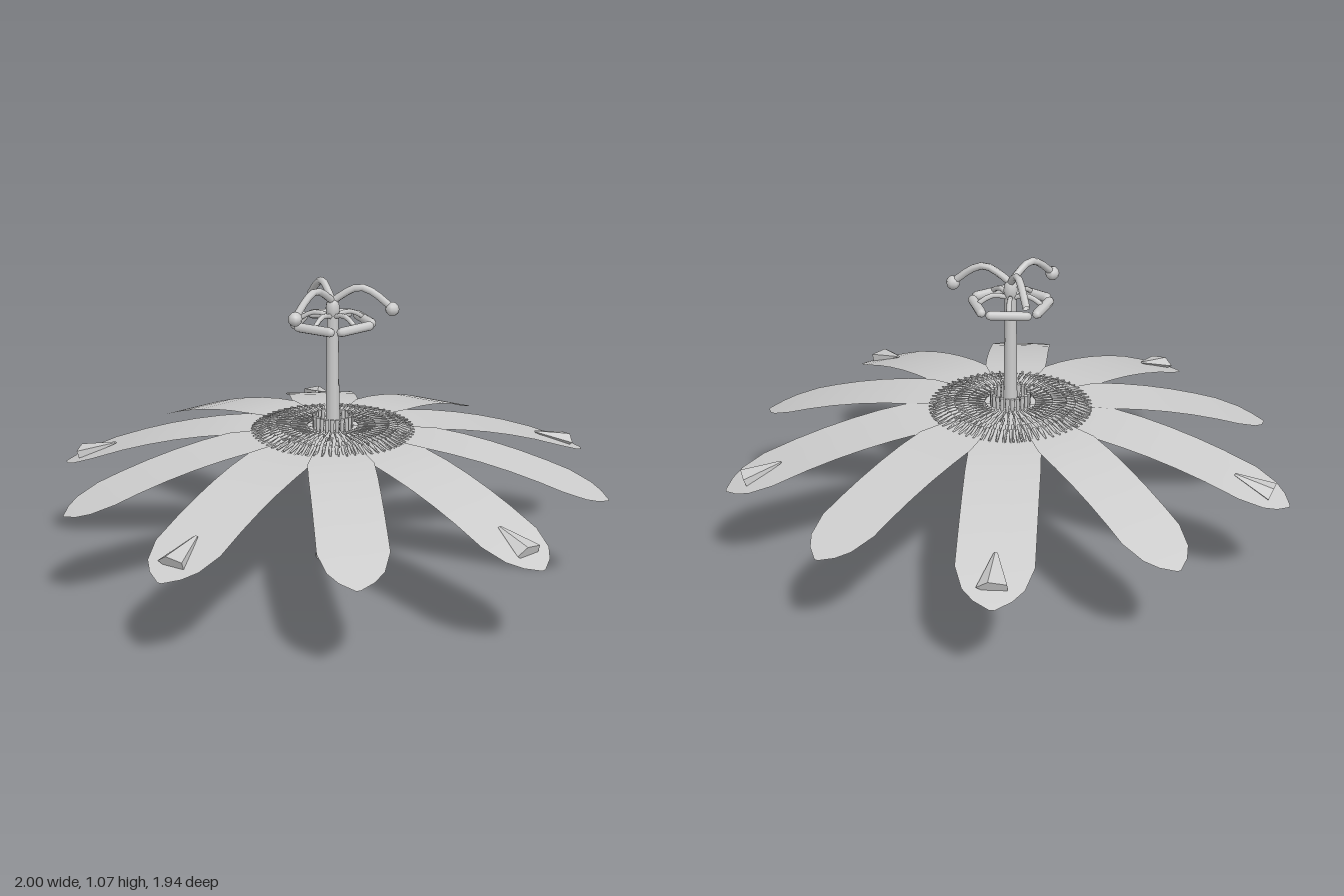
import * as THREE from 'three';

const grey = new THREE.MeshStandardMaterial({ color: 0xcccccc, side: THREE.DoubleSide });
grey.name = 'flowerGrey';
const CENTRE_X = -0.02;

const v = (x, y, z = 0) => new THREE.Vector3(x, y, z);
const mesh = (geometry, name, parent) => {
  const m = new THREE.Mesh(geometry, grey);
  m.name = name;
  parent.add(m);
  return m;
};
// Tube through a few points
const tube = (points, radius, sides, steps = 10) =>
  new THREE.TubeGeometry(new THREE.CatmullRomCurve3(points), steps, radius, sides);
// Group turned about the flower's axis
const spoke = (angle, name, parent) => {
  const g = new THREE.Group();
  g.name = name;
  g.rotation.y = angle;
  parent.add(g);
  return g;
};

// Height of the drooping petals at a given distance from the axis
const droop = (r) => 0.543 - 0.2 * Math.pow(Math.max(0, r - 0.15) / 0.85, 1.9);

// Thin petal along +x: rows of four points across
function petalGeometry(length, halfWidth, drop) {
  const outline = [[0.04, 0.2], [0.15, 0.5], [0.35, 0.98], [0.45, 1], [0.55, 1], [0.65, 1], [0.75, 1],
    [length - 0.15, 1], [length - 0.07, 0.78], [length - 0.03, 0.48], [length, 0.06]];
  const pos = [], idx = [];
  outline.forEach(([r, w], i) => {
    for (let k = 0; k < 4; k++) pos.push(r, droop(r) - drop, halfWidth * w * (1 - k * 2 / 3));
    if (i) for (let k = 0; k < 3; k++) {
      const a = (i - 1) * 4 + k, b = i * 4 + k;
      idx.push(a, b, a + 1, b, b + 1, a + 1);
    }
  });
  const g = new THREE.BufferGeometry();
  g.setAttribute('position', new THREE.Float32BufferAttribute(pos, 3));
  g.setIndex(idx);
  g.computeVertexNormals();
  return g;
}

// Faceted horn near a sepal tip, wide outside and pointed inwards
function hornGeometry() {
  const g = new THREE.CylinderGeometry(0.045, 0.006, 0.14, 5).toNonIndexed();
  g.rotateZ(-Math.PI / 2);
  g.scale(1, 0.6, 1.2);
  g.rotateZ(-0.33);
  g.translate(0.89, droop(0.89) + 0.004, 0);
  g.computeVertexNormals();
  return g;
}

export function createModel() {
  const root = new THREE.Group();
  root.name = 'flower';
  const flower = new THREE.Group();
  flower.name = 'bloom';
  flower.position.x = CENTRE_X;
  root.add(flower);

  // Five sepals with horns, five plain petals between them
  const sepalGeo = petalGeometry(1.02, 0.126, 0.004);
  const petalGeo = petalGeometry(0.98, 0.115, 0);
  const hornGeo = hornGeometry();
  for (let i = 0; i < 5; i++) {
    const a = i * Math.PI * 0.4;
    const s = spoke(a, 'sepalGroup', flower);
    mesh(sepalGeo, 'sepal', s);
    mesh(hornGeo, 'sepalHorn', s);
    mesh(petalGeo, 'petal', spoke(a + Math.PI / 5, 'petalGroup', flower));
  }

  // Bent stem and fluted cup
  mesh(tube([v(0, 0, -0.105), v(0, 0.14, -0.09), v(0, 0.27, -0.058), v(0, 0.36, -0.02), v(0, 0.42, 0)], 0.025, 10, 14),
    'stem', flower);
  const cup = new THREE.LatheGeometry([[0.025, 0.38], [0.045, 0.42], [0.09, 0.48], [0.098, 0.51], [0.09, 0.54]]
    .map(([x, y]) => new THREE.Vector2(x, y)), 20);
  const p = cup.attributes.position;
  for (let i = 0; i < p.count; i++) {
    const f = Math.floor(i / 5) % 2 ? 0.9 : 1;
    p.setXYZ(i, p.getX(i) * f, p.getY(i), p.getZ(i) * f);
  }
  cup.computeVertexNormals();
  mesh(cup, 'cup', flower);

  // Corona: rings of thin spikes [count, inner r, inner y, outer r, outer y, thickness]
  const rings = [
    [40, 0.09, 0.55, 0.17, 0.55, 0.004],
    [56, 0.15, 0.552, 0.24, 0.55, 0.005],
    [64, 0.2, 0.552, 0.29, 0.535, 0.006],
    [72, 0.23, 0.55, 0.33, 0.512, 0.006],
  ];
  rings.forEach(([count, r0, y0, r1, y1, t], ring) => {
    const len = Math.hypot(r1 - r0, y1 - y0);
    const geo = new THREE.CylinderGeometry(t * 0.5, t, len, 5);
    geo.rotateZ(Math.atan2(y1 - y0, r1 - r0) - Math.PI / 2);
    geo.translate((r0 + r1) / 2, (y0 + y1) / 2, 0);
    for (let i = 0; i < count; i++) {
      mesh(geo, 'coronaFilament', flower).rotation.y = (i + ring * 0.37) / count * Math.PI * 2;
    }
  });

  // Upright inner fringe round the column
  const fringe = new THREE.CylinderGeometry(0.008, 0.006, 0.06, 6);
  fringe.translate(0.066, 0.56, 0);
  for (let i = 0; i < 22; i++) mesh(fringe, 'innerFringe', flower).rotation.y = i / 22 * Math.PI * 2;

  // Central column and ovary
  const column = mesh(new THREE.CylinderGeometry(0.02, 0.025, 0.44, 10), 'column', flower);
  column.position.y = 0.74;
  const ovary = mesh(new THREE.SphereGeometry(0.025, 10, 8), 'ovary', flower);
  ovary.position.y = 0.975;
  ovary.scale.y = 1.7;

  // Five stamens whose anthers form a pentagon
  const stalk = tube([v(0, 0.945), v(0.06, 0.96), v(0.1, 0.945), v(0.122, 0.925)], 0.009, 6, 6);
  const anther = new THREE.CapsuleGeometry(0.017, 0.125, 2, 8);
  anther.rotateX(Math.PI / 2);
  anther.translate(0.12, 0.926, 0);
  for (let i = 0; i < 5; i++) {
    const s = spoke(i * Math.PI * 0.4, 'stamen', flower);
    mesh(stalk, 'stamenStalk', s);
    mesh(anther, 'anther', s);
  }

  // Three arching styles, two ending in knobs
  const styleGeo = tube([v(0, 1.0), v(0.04, 1.03), v(0.09, 1.053), v(0.135, 1.04), v(0.205, 0.985)], 0.013, 7, 8);
  const knobGeo = new THREE.SphereGeometry(0.025, 8, 6);
  for (let i = 0; i < 3; i++) {
    const s = spoke(Math.PI / 2 + i * Math.PI * 2 / 3, 'style', flower);
    mesh(styleGeo, 'styleArm', s);
    if (i) mesh(knobGeo, 'stigma', s).position.set(0.207, 0.98, 0);
  }
  return root;
}
